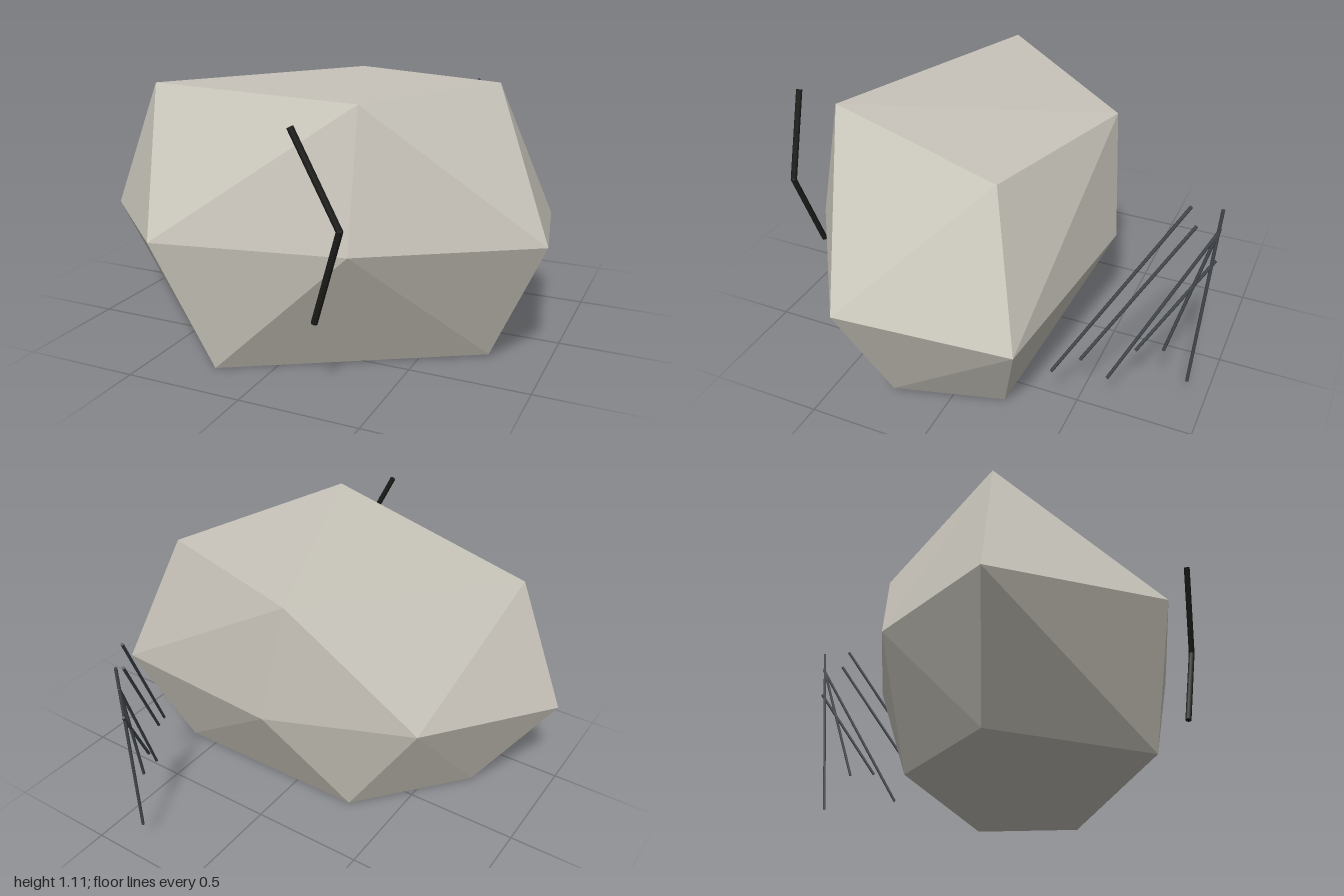
import * as THREE from 'three';
import { ConvexGeometry } from 'three/addons/geometries/ConvexGeometry.js';

const v = (x, y, z) => new THREE.Vector3(x, y, z);

// Thin rod between two points
function rod(name, a, b, radius, material) {
  const dir = b.clone().sub(a);
  const mesh = new THREE.Mesh(new THREE.CylinderGeometry(radius, radius, dir.length(), 6), material);
  mesh.position.copy(a).add(b).multiplyScalar(0.5);
  mesh.quaternion.setFromUnitVectors(v(0, 1, 0), dir.normalize());
  mesh.name = name;
  return mesh;
}

export function createModel() {
  const model = new THREE.Group();
  model.name = 'boulder';
  const stone = new THREE.MeshStandardMaterial({ color: 0xc9c5bb, flatShading: true });
  const black = new THREE.MeshStandardMaterial({ color: 0x1c1c1a });
  const slate = new THREE.MeshStandardMaterial({ color: 0x454a50 });

  // Faceted rock: top, middle and bottom rings of corners
  const top = [v(-0.78, 1.06, 0.335), v(0.35, 1.105, 0.68), v(0.64, 1.075, -0.2), v(-0.1, 1.075, -0.42)];
  const middle = [
    v(-1, 0.49, 0.36), v(-0.43, 0.545, 0.93), v(0.36, 0.555, 0.795), v(1, 0.545, 0.35),
    v(0.86, 0.47, -0.36), v(-0.01, 0.53, -0.475), v(-0.61, 0.515, -0.2),
  ];
  const bottom = [
    v(-0.22, 0, 0.81), v(0.76, 0.01, 0.25), v(0.63, 0.01, -0.22),
    v(-0.295, 0.01, -0.22), v(-0.68, 0.01, 0.25),
  ];
  const rock = new THREE.Mesh(new ConvexGeometry([...top, ...middle, ...bottom]), stone);
  rock.name = 'rock';
  model.add(rock);

  // Bent crack standing just off the front
  const crack = new THREE.Group();
  crack.name = 'frontCrack';
  const bend = v(0.39, 0.7, 0.925);
  crack.add(rod('crackUpper', v(0.22, 1.065, 0.96), bend, 0.014, black));
  crack.add(rod('crackLower', bend, v(0.27, 0.32, 0.89), 0.014, black));
  const elbow = new THREE.Mesh(new THREE.SphereGeometry(0.014, 8, 6), black);
  elbow.position.copy(bend);
  elbow.name = 'crackBend';
  crack.add(elbow);
  model.add(crack);

  // Scratch strokes behind, all in one slanted upright plane: [z, y] low end, [z, y] high end
  const scratches = new THREE.Group();
  scratches.name = 'backScratches';
  const onPlane = (z, y) => v(0.62 + (z + 0.43) * 0.63, y, z);
  [
    [-0.425, 0.24, -0.86, 0.98], [-0.525, 0.285, -0.885, 0.89], [-0.625, 0.17, -0.965, 0.86],
    [-0.72, 0.305, -0.965, 0.72], [-0.82, 0.29, -0.965, 0.87], [-0.92, 0.105, -0.967, 0.955],
  ].forEach(([z0, y0, z1, y1], i) =>
    scratches.add(rod('scratch' + (i + 1), onPlane(z0, y0), onPlane(z1, y1), 0.007, slate)));
  model.add(scratches);

  return model;
}
